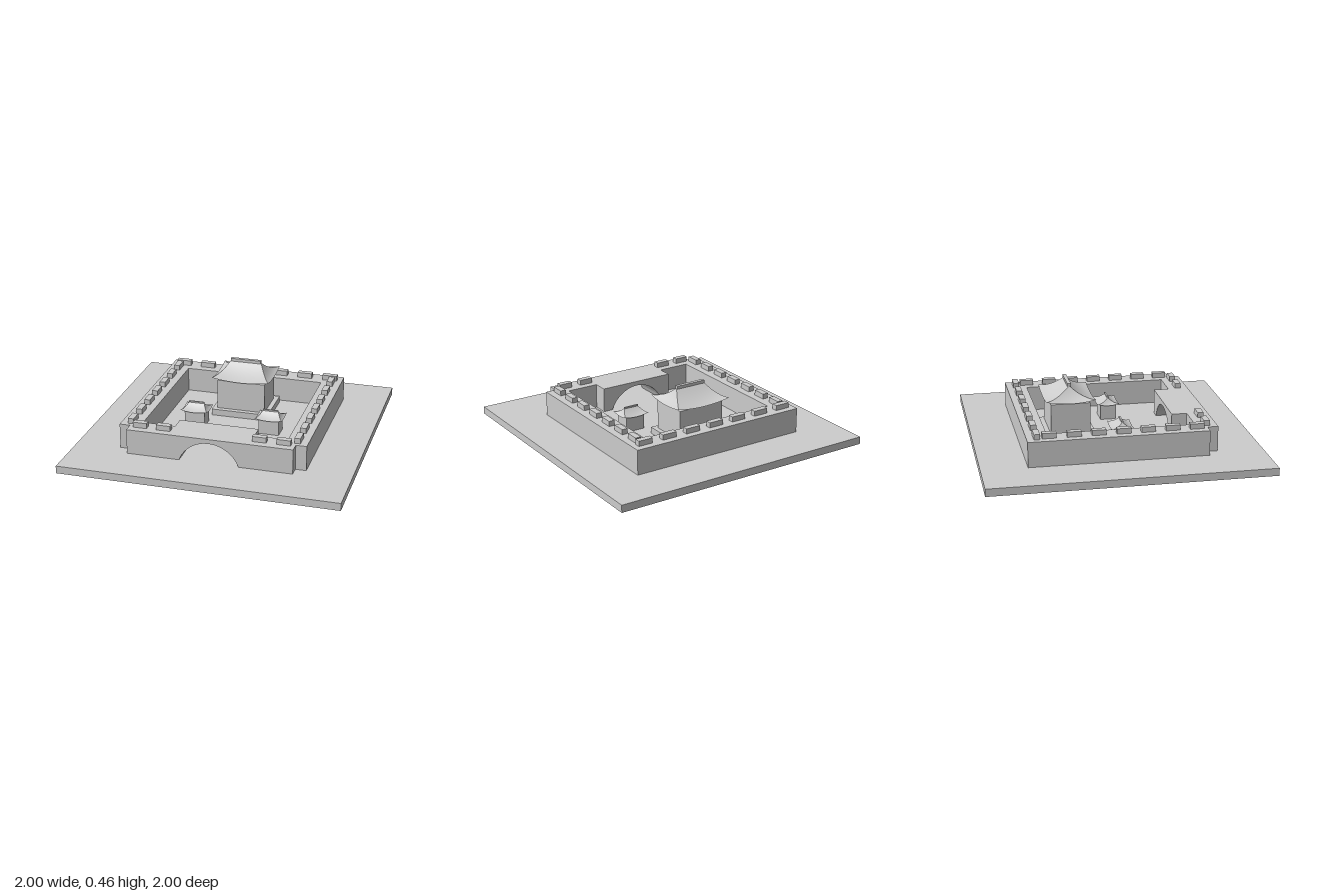
import * as THREE from 'three';

export function createModel() {
  const model = new THREE.Group();
  model.name = 'walledPalace';
  const stone = new THREE.MeshStandardMaterial({ color: 0xcccccc, side: THREE.DoubleSide });
  stone.name = 'lightGreyStone';
  const baseTop = 0.055, wallTop = 0.237;

  const add = (parent, name, geometry) => {
    const mesh = new THREE.Mesh(geometry, stone);
    mesh.name = name;
    parent.add(mesh);
    return mesh;
  };
  // Box given by its minimum and maximum on each axis
  const box = (parent, name, [x0, x1], [y0, y1], [z0, z1]) =>
    add(parent, name, new THREE.BoxGeometry(x1 - x0, y1 - y0, z1 - z0))
      .position.set((x0 + x1) / 2, (y0 + y1) / 2, (z0 + z1) / 2);

  box(model, 'base', [-1, 1], [0, baseTop], [-1, 1]);

  // Perimeter walls
  const walls = new THREE.Group();
  walls.name = 'walls';
  model.add(walls);
  const rise = [baseTop, wallTop];
  box(walls, 'backWall', [-0.675, 0.675], rise, [-0.675, -0.525]);
  for (const s of [-1, 1]) {
    const span = (a, b) => (s > 0 ? [a, b] : [-b, -a]);
    box(walls, 'sideWall', span(0.525, 0.675), rise, [-0.525, 0.598]);
    box(walls, 'frontWall', span(0.288, 0.525), rise, [0.525, 0.675]);
    box(walls, 'frontCorner', span(0.525, 0.598), rise, [0.598, 0.675]);
  }

  // Gatehouse block with a segmental arch passing through it
  const gate = new THREE.Shape();
  gate.moveTo(-0.288, baseTop);
  const radius = 0.228, centreY = -0.023;
  const start = Math.asin((baseTop - centreY) / radius);
  for (let i = 0; i <= 14; i++) {
    const a = Math.PI - start - (i / 14) * (Math.PI - 2 * start);
    gate.lineTo(radius * Math.cos(a), centreY + radius * Math.sin(a));
  }
  gate.lineTo(0.288, baseTop);
  gate.lineTo(0.288, wallTop);
  gate.lineTo(-0.288, wallTop);
  gate.closePath();
  add(walls, 'archedGate', new THREE.ExtrudeGeometry(gate, { depth: 0.26, bevelEnabled: false }))
    .position.z = 0.415;

  // Battlements
  const battlements = new THREE.Group();
  battlements.name = 'battlements';
  model.add(battlements);
  const merlon = (x, z, w, d) =>
    box(battlements, 'merlon', [x - w / 2, x + w / 2], [wallTop, 0.275], [z - d / 2, z + d / 2]);
  for (let i = -3; i <= 3; i++) {
    merlon(i * 0.193, -0.605, 0.11, 0.043);
    for (const s of [-1, 1]) {
      merlon(s * 0.602, i * 0.173, 0.043, 0.1);
      if (Math.abs(i) > 1) merlon(i * 0.1725, 0.6, 0.1, 0.043);
      if (s < 0) continue;
    }
  }

  // Concave hipped roof: four curved slopes with upturned corners
  function hippedRoof(parent, { hx, hz, ridge, eave, height, lift }) {
    const roof = new THREE.Group();
    roof.name = 'roof';
    parent.add(roof);
    const nu = 10, nv = 6;
    for (let side = 0; side < 4; side++) {
      const slope = new THREE.PlaneGeometry(2, 1, nu, nv);
      const p = slope.attributes.position;
      for (let i = 0; i < p.count; i++) {
        const u = p.getX(i), t = p.getY(i) + 0.5;
        const ex = hx + (ridge - hx) * t, ez = hz * (1 - t);
        const y = eave + height * (0.4 * t + 0.6 * t * t) + lift * u * u * (1 - t) ** 2;
        if (side === 0) p.setXYZ(i, u * ex, y, ez);
        else if (side === 1) p.setXYZ(i, ex, y, -u * ez);
        else if (side === 2) p.setXYZ(i, -u * ex, y, -ez);
        else p.setXYZ(i, -ex, y, u * ez);
      }
      slope.computeVertexNormals();
      add(roof, 'roofSlope', slope);
    }
    const top = eave + height, b = hz * 0.073;
    box(roof, 'ridgeBeam', [-ridge, ridge], [top - height * 0.05, top + height * 0.16], [-b, b]);
  }

  // Main hall
  const hall = new THREE.Group();
  hall.name = 'mainHall';
  hall.position.z = -0.3;
  model.add(hall);
  box(hall, 'plinth', [-0.215, 0.215], [baseTop, 0.102], [-0.19, 0.18]);
  box(hall, 'hallBody', [-0.18, 0.18], [0.102, 0.325], [-0.143, 0.143]);
  hippedRoof(hall, { hx: 0.215, hz: 0.178, ridge: 0.115, eave: 0.335, height: 0.105, lift: 0.02 });

  // Two small pavilions
  for (const s of [-1, 1]) {
    const pavilion = new THREE.Group();
    pavilion.name = s > 0 ? 'leftPavilion' : 'rightPavilion';
    pavilion.position.set(s * 0.28, 0, 0.045);
    model.add(pavilion);
    box(pavilion, 'pavilionBody', [-0.075, 0.075], [baseTop, 0.165], [-0.058, 0.058]);
    hippedRoof(pavilion, { hx: 0.1, hz: 0.081, ridge: 0.057, eave: 0.168, height: 0.05, lift: 0.012 });
  }
  return model;
}
